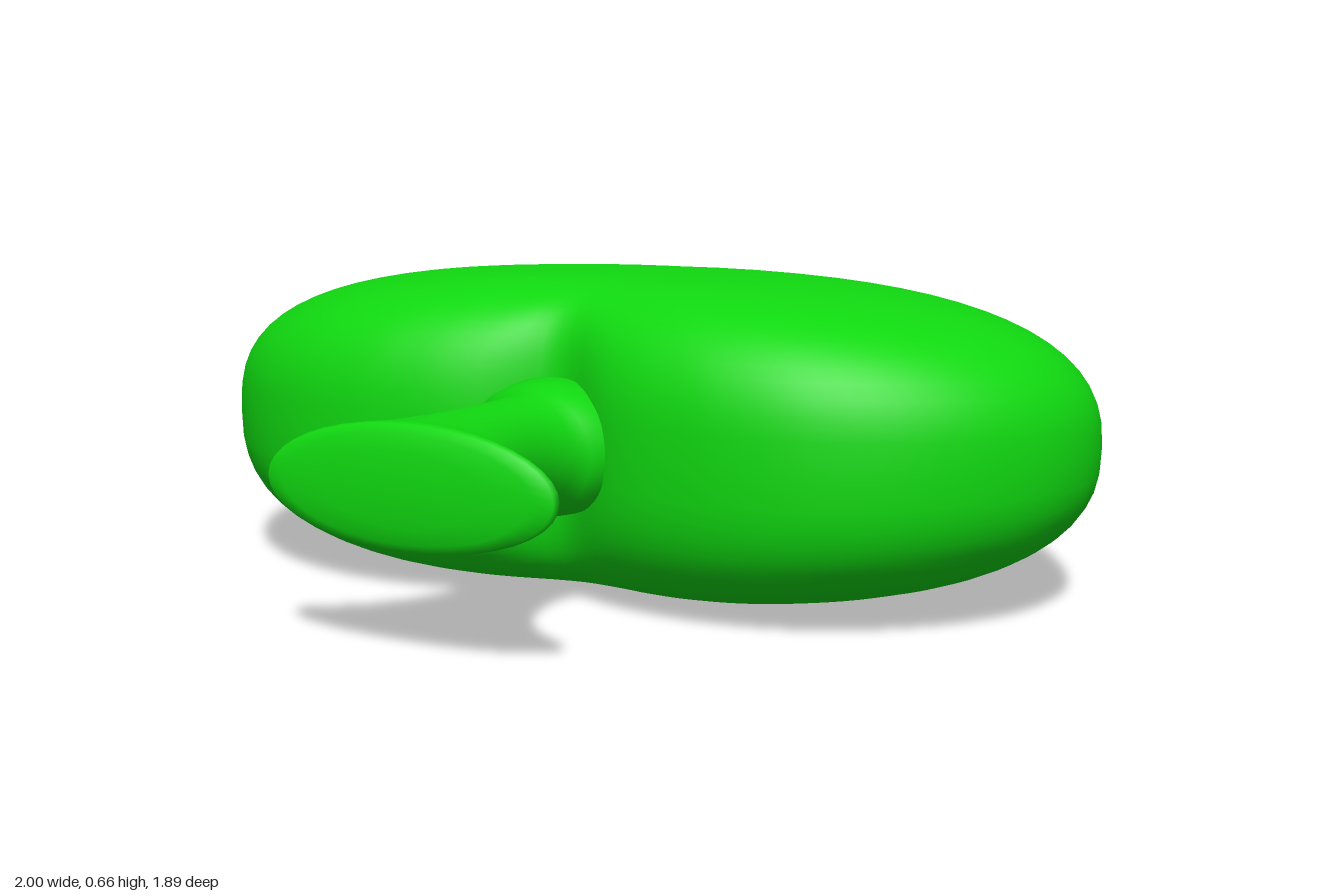
import * as THREE from 'three';
import { mergeVertices } from 'three/addons/utils/BufferGeometryUtils.js';

const MID = 0.337; // height of the horizontal symmetry plane

// Skin a stack of closed rings into one smooth surface
function loft(rings) {
  const n = rings[0].length, index = [];
  for (let i = 0; i < rings.length - 1; i++) {
    for (let j = 0; j < n; j++) {
      const k = (j + 1) % n;
      const a = i * n + j, b = i * n + k, c = a + n, d = b + n;
      index.push(a, c, b, b, c, d);
    }
  }
  let geo = new THREE.BufferGeometry();
  geo.setAttribute('position', new THREE.Float32BufferAttribute(rings.flat(2), 3));
  geo.setIndex(index);
  geo = mergeVertices(geo, 1e-5);
  geo.computeVertexNormals();
  return geo;
}

// Puffy spade body: the outline shrinks towards the middle while it rises
function bodyGeometry() {
  const half = [[0.16, -0.915], [0.32, -0.84], [0.5, -0.715], [0.7, -0.535], [0.85, -0.375],
    [0.955, -0.19], [1, -0.02], [0.97, 0.15], [0.88, 0.295], [0.75, 0.41], [0.59, 0.485],
    [0.42, 0.51], [0.28, 0.5], [0.15, 0.478]];
  const points = [[0, -0.948], ...half, [0, 0.475],
    ...half.slice().reverse().map(([x, z]) => [-x, z])];
  const curve = new THREE.CatmullRomCurve3(
    points.map(([x, z]) => new THREE.Vector3(x, 0, z)), true, 'centripetal');
  const outline = curve.getPoints(120).slice(0, 120);

  const rings = [], steps = 40;
  for (let i = 0; i <= steps; i++) {
    const t = (i / steps - 0.5) * Math.PI;
    const s = Math.max(0, Math.cos(t));
    rings.push(outline.map(({ x, z }) => {
      // thinner towards the tip, fuller at the lobes
      const p = 3 + (z < 0 ? 1.37 : 0.6) * z;
      const q = 0.4 - 0.1 * Math.max(z, 0);
      const h = 0.332 * Math.pow(Math.max(0, 1 - Math.pow(s, p)), q);
      // cleft between the lobes, fading out inwards
      const cleft = z > 0 ? 0.09 * Math.exp(-((x / 0.11) ** 2)) * s ** 4 : 0;
      return [x * s, MID + Math.sign(i - steps / 2) * h, z * s - cleft];
    }));
  }
  return loft(rings);
}

// Flared stem: elliptical sections along z
function stemGeometry() {
  const sections = [ // z, half width, half height
    [0.3, 0, 0], [0.31, 0.16, 0.13], [0.4, 0.18, 0.14], [0.46, 0.165, 0.135],
    [0.485, 0.135, 0.125], [0.52, 0.115, 0.119], [0.58, 0.107, 0.117], [0.65, 0.114, 0.117],
    [0.72, 0.133, 0.117], [0.78, 0.163, 0.117], [0.84, 0.213, 0.117], [0.88, 0.262, 0.117],
    [0.9, 0.295, 0.119], [0.911, 0.313, 0.119], [0.922, 0.307, 0.116], [0.932, 0.265, 0.101],
    [0.938, 0.17, 0.07], [0.941, 0.08, 0.033], [0.942, 0, 0]];
  const n = 40;
  return loft(sections.map(([z, w, h]) => Array.from({ length: n }, (_, j) => {
    const a = -j / n * Math.PI * 2;
    return [w * Math.cos(a), MID + h * Math.sin(a), z];
  })));
}

export function createModel() {
  const group = new THREE.Group();
  group.name = 'spade';
  const green = new THREE.MeshStandardMaterial({ color: 0x10d810 });
  const parts = { body: bodyGeometry(), stem: stemGeometry() };
  for (const [name, geometry] of Object.entries(parts)) {
    const mesh = new THREE.Mesh(geometry, green);
    mesh.name = name;
    group.add(mesh);
  }
  return group;
}
